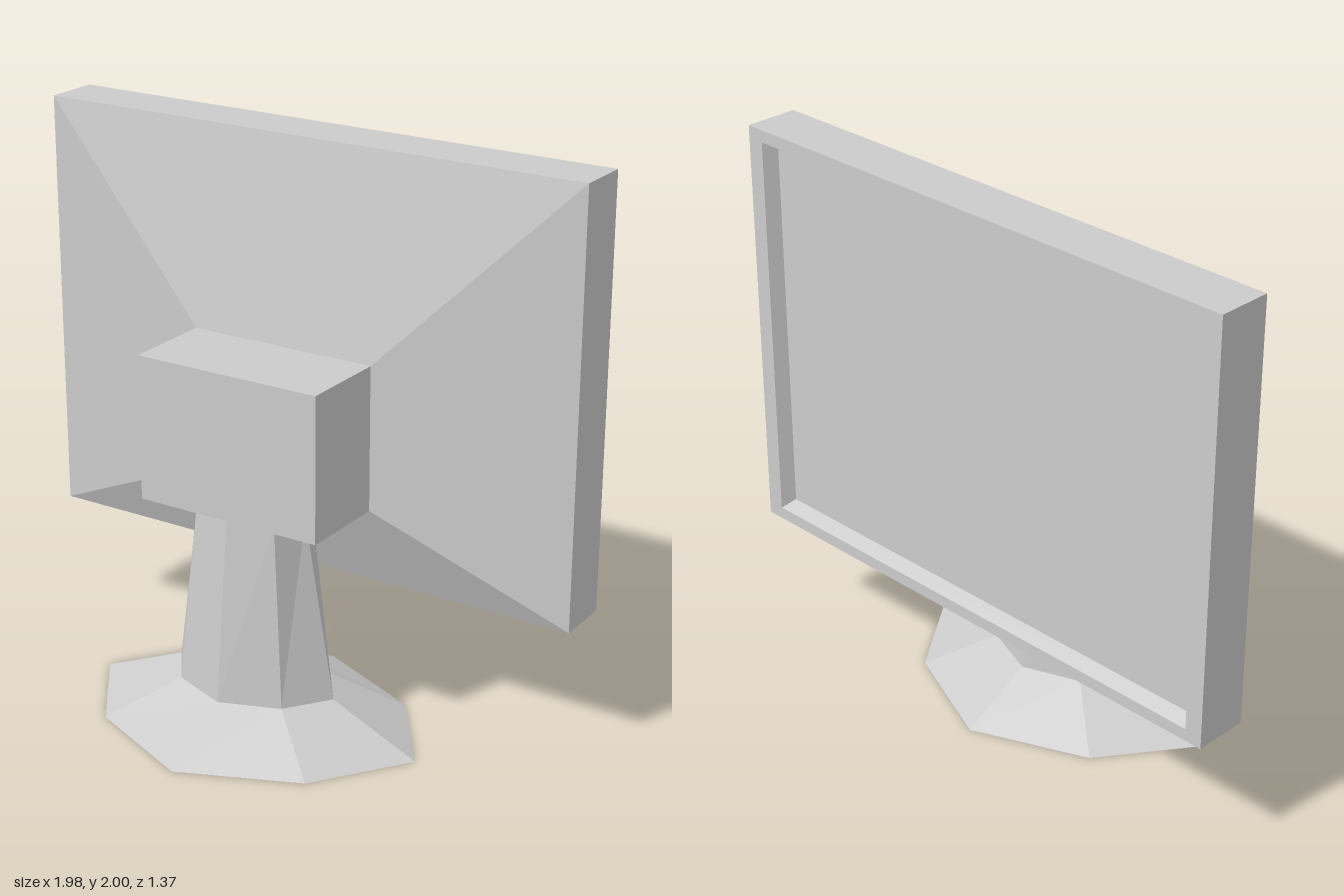
import * as THREE from 'three';

const material = new THREE.MeshStandardMaterial({ color: 0xcccccc, flatShading: true });

// Skin a series of matching rings (counter-clockwise seen from the far end), with optional caps.
function loft(name, rings, capStart = true, capEnd = true) {
  const pos = [];
  const tri = (a, b, c) => pos.push(...a, ...b, ...c);
  const n = rings[0].length;
  for (let r = 0; r < rings.length - 1; r++) {
    const a = rings[r], b = rings[r + 1];
    for (let i = 0; i < n; i++) {
      const j = (i + 1) % n;
      tri(a[i], a[j], b[j]);
      tri(a[i], b[j], b[i]);
    }
  }
  const first = rings[0], last = rings[rings.length - 1];
  for (let i = 1; i < n - 1; i++) {
    if (capStart) tri(first[0], first[i + 1], first[i]);
    if (capEnd) tri(last[0], last[i], last[i + 1]);
  }
  const geometry = new THREE.BufferGeometry();
  geometry.setAttribute('position', new THREE.Float32BufferAttribute(pos, 3));
  geometry.computeVertexNormals();
  const mesh = new THREE.Mesh(geometry, material);
  mesh.name = name;
  return mesh;
}

// Upright rectangle at depth z.
const rect = (halfW, y0, y1, z) => [[-halfW, y0, z], [halfW, y0, z], [halfW, y1, z], [-halfW, y1, z]];

// Flat eight-sided ring at height y; the diagonal corners have their own offsets.
const octagon = (y, rx, rz, dx, dz) => [
  [rx, y, 0], [dx, y, -dz], [0, y, -rz], [-dx, y, -dz],
  [-rx, y, 0], [-dx, y, dz], [0, y, rz], [dx, y, dz],
];

export function createModel() {
  const model = new THREE.Group();
  model.name = 'monitor';

  // Everything is turned together about the upright axis
  const turned = new THREE.Group();
  turned.name = 'turnedMonitor';
  turned.position.set(0.04, 0, -0.24);
  turned.rotation.y = -0.442;
  model.add(turned);

  // Bezel, side walls and tapered rear
  turned.add(loft('screenHousing', [
    rect(0.96, 0.535, 1.93, 0.05),
    rect(0.985, 0.51, 1.955, 0),
    rect(1.05, 0.465, 2, 0),
    rect(1.05, 0.465, 2, 0.2),
    rect(0.352, 0.787, 1.305, 0.332),
  ], false, false));

  // Recessed display panel
  const panel = new THREE.Mesh(new THREE.PlaneGeometry(1.92, 1.395), material);
  panel.name = 'displayPanel';
  panel.rotation.y = Math.PI;
  panel.position.set(0, 1.2325, 0.05);
  turned.add(panel);

  // Block behind the screen
  const block = new THREE.Mesh(new THREE.BoxGeometry(0.704, 0.518, 0.332), material);
  block.name = 'rearBlock';
  block.position.set(0, 1.046, 0.498);
  turned.add(block);

  // Stand: flared foot and tapering neck
  const stand = new THREE.Group();
  stand.name = 'stand';
  stand.position.z = 0.502;
  const neckBottom = octagon(0.14, 0.32, 0.232, 0.21, 0.153);
  stand.add(
    loft('foot', [octagon(0, 0.647, 0.5, 0.416, 0.323), neckBottom], true, false),
    loft('neck', [neckBottom, octagon(0.79, 0.207, 0.163, 0.157, 0.113)], false, true),
  );
  turned.add(stand);

  return model;
}
